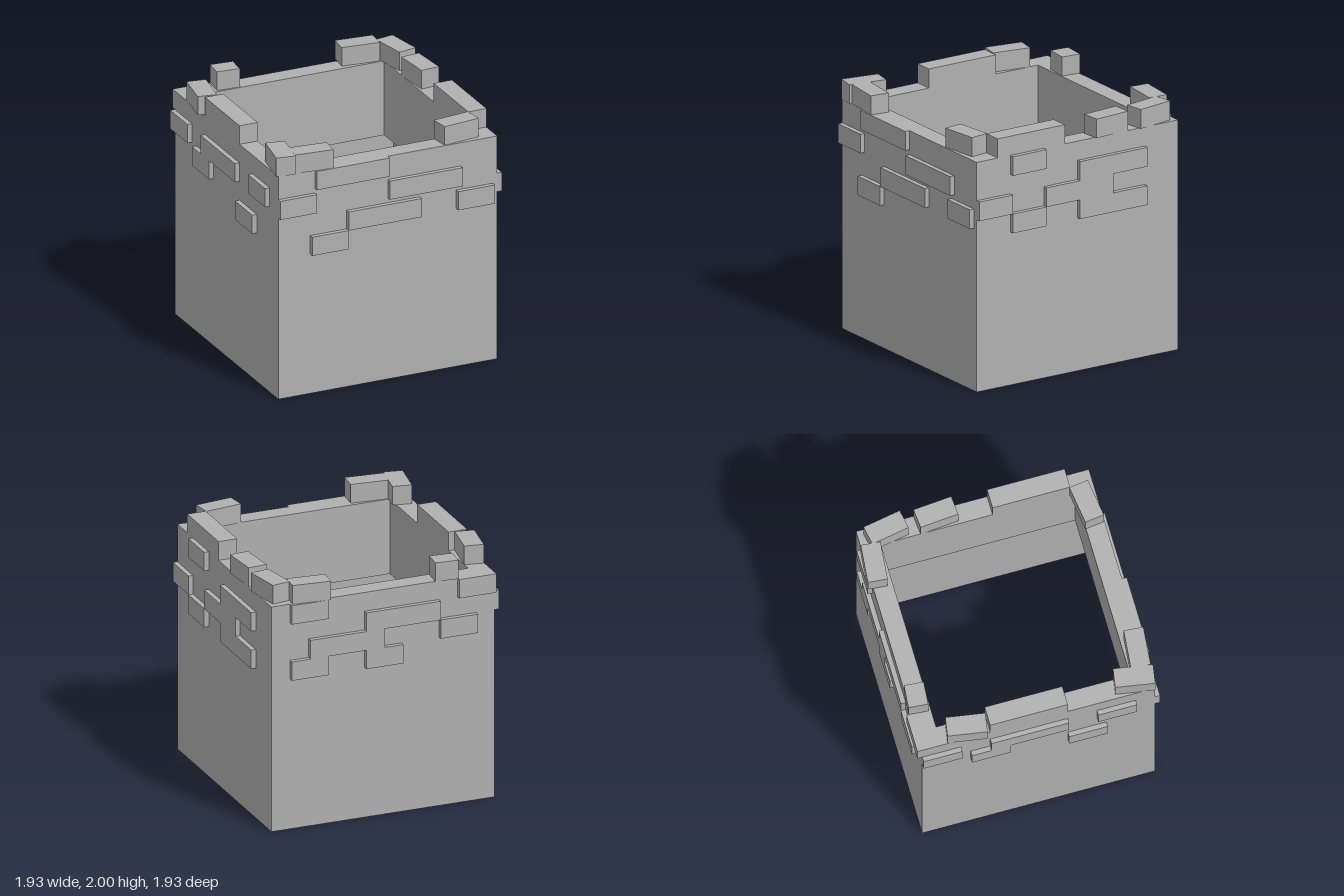
import * as THREE from 'three';

const U = 2 / 13;          // one stone course
const HALF = 6 * U;        // half width of the tower
const DEG = Math.PI / 180;

export function createModel() {
  const model = new THREE.Group();
  model.name = 'ruinedTower';
  const stone = new THREE.MeshStandardMaterial({ color: 0xb0b0b0, flatShading: true, side: THREE.DoubleSide });
  stone.name = 'grey stone';

  const add = (name, geometry, parent = model) => {
    const mesh = new THREE.Mesh(geometry, stone);
    mesh.name = name;
    parent.add(mesh);
    return mesh;
  };

  // Lower wall: thin open square shell, no floor
  const r = HALF * Math.SQRT2;
  add('lowerWall', new THREE.CylinderGeometry(r, r, 8 * U, 4, 1, true, Math.PI / 4)).position.y = 4 * U;

  // Upper wall: thick square ring
  const square = (Type, h) => new Type([[-h, -h], [h, -h], [h, h], [-h, h]].map(([x, y]) => new THREE.Vector2(x, y)));
  const ring = square(THREE.Shape, HALF);
  ring.holes.push(square(THREE.Path, 5 * U));
  const upper = add('upperWall', new THREE.ExtrudeGeometry(ring, { depth: 4 * U, bevelEnabled: false }));
  upper.rotation.x = -Math.PI / 2;
  upper.position.y = 8 * U;

  // Raised bricks on each side: [start along wall, length, bottom], in courses
  const sides = {
    front: [0, [[-4, 4, 11], [-6, 2, 9.75], [0, 4, 9.75], [-2.25, 4, 8.5], [3.75, 2, 8.5], [-4.25, 2, 7.5]]],
    plusX: [90, [[-4, 2, 11], [-6, 2, 9], [-4, 2, 8], [-2, 4, 9], [0, 4, 10], [0, 4, 8]]],
    back: [180, [[-5, 2, 11], [-5, 2, 8], [-4, 4, 9], [-1, 4, 10], [-1, 2, 8], [3, 2, 9], [4, 2, 11]]],
    minusX: [-90, [[-6, 2, 10], [-3.5, 2, 9], [-2.5, 4, 10], [1.5, 2, 8], [3, 2, 10]]],
  };
  for (const [side, [angle, bricks]] of Object.entries(sides)) {
    const group = new THREE.Group();
    group.name = side + 'Bricks';
    group.rotation.y = angle * DEG;
    for (const [start, length, bottom] of bricks) {
      add('brick', new THREE.BoxGeometry(length * U, U, U / 4), group)
        .position.set((start + length / 2) * U, (bottom + 0.5) * U, HALF + U / 8);
    }
    model.add(group);
  }

  // Loose stones on the rim: [x, z, length, turn in degrees], length runs along z before turning
  const rimStones = [
    [-0.53, -0.86, 0.185, 85],
    [0.593, -0.873, 2 * U, 84.5],
    [0.84, -0.709, 2 * U, 10],
    [0.856, -0.309, 2 * U, 4.8],
    [5.5 * U, 0.423, 4 * U, 0],
    [0.626, 0.82, 2 * U, 97.5],
    [-0.621, 0.866, 2 * U, 84.5],
    [-0.838, 0.781, 2 * U, -9.5],
    [-5.5 * U, -0.5 * U, 4 * U, 0],
    [-0.868, -0.557, 2 * U, -9.2],
  ];
  for (const [x, z, length, turn] of rimStones) {
    const block = add('rimStone', new THREE.BoxGeometry(U, U, length));
    block.position.set(x, 12.5 * U, z);
    block.rotation.y = turn * DEG;
  }
  return model;
}
